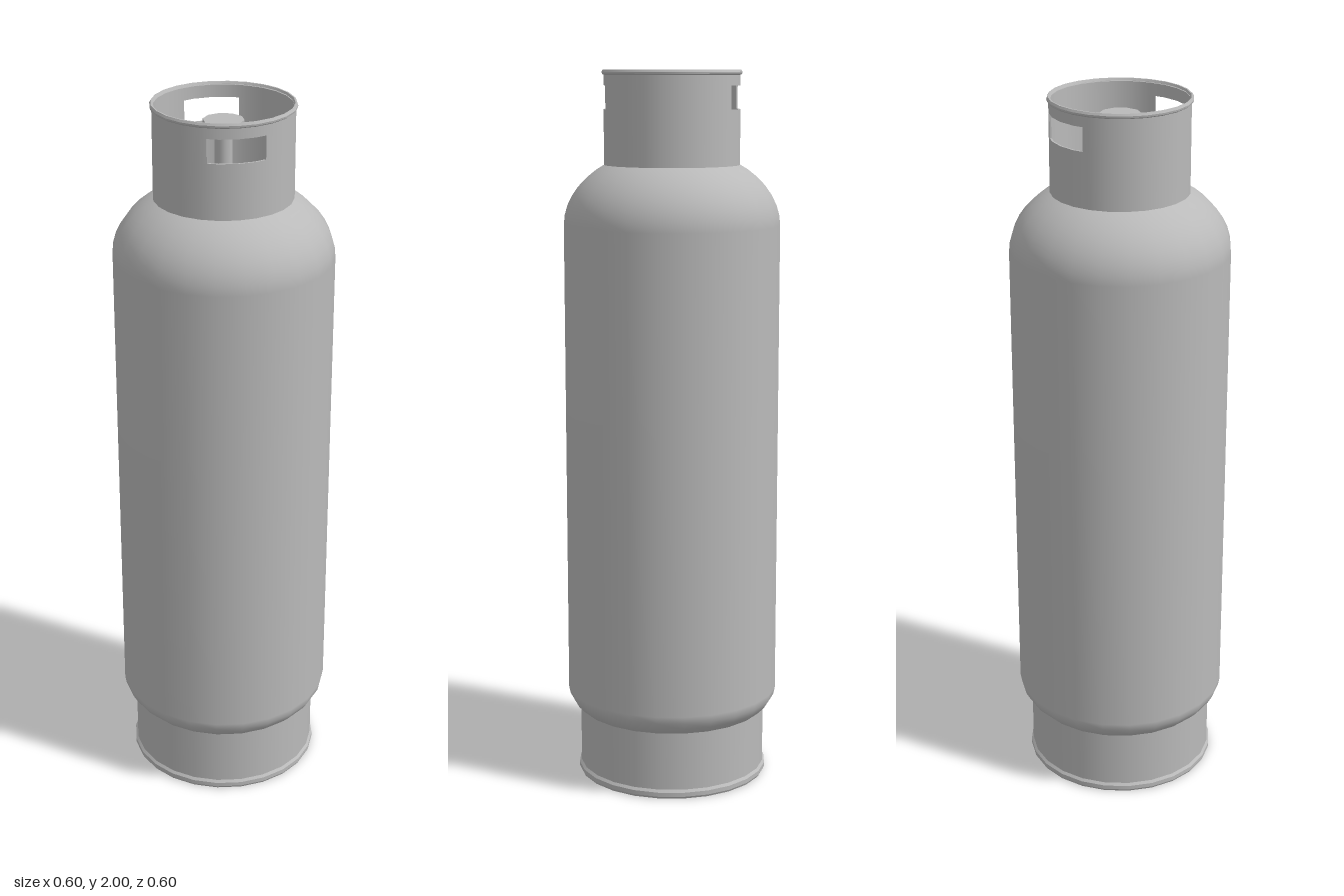
import * as THREE from 'three';
import { mergeGeometries } from 'three/addons/utils/BufferGeometryUtils.js';

const SIDES = 24;
const DEG = Math.PI / 180;

const steel = new THREE.MeshStandardMaterial({ color: 0xbababa, side: THREE.DoubleSide });
steel.name = 'grey steel';

const toVectors = (points) => points.map(([x, y]) => new THREE.Vector2(x, y));

// Revolves each edge of a profile on its own, so corners stay sharp
function sharpLathe(points, sides = SIDES, start = 0, length = Math.PI * 2) {
  const edges = [];
  for (let i = 0; i < points.length - 1; i++) {
    edges.push(new THREE.LatheGeometry(toVectors([points[i], points[i + 1]]), sides, start, length));
  }
  return mergeGeometries(edges);
}

// Closed rectangular wall section between two radii and two heights
const wall = (inner, outer, low, high) =>
  [[inner, low], [outer, low], [outer, high], [inner, high], [inner, low]];

function part(name, geometry) {
  const mesh = new THREE.Mesh(geometry, steel);
  mesh.name = name;
  return mesh;
}

// Quarter ellipse points of a domed end, from the wall to the axis
function dome(radius, y, height, steps) {
  const points = [];
  for (let i = 0; i <= steps; i++) {
    const a = (i / steps) * Math.PI / 2;
    points.push([i === steps ? 0 : radius * Math.cos(a), y + height * Math.sin(a)]);
  }
  return points;
}

function createTank() {
  const profile = [...dome(0.3, 0.25, -0.128, 10).reverse(), ...dome(0.3, 1.58, 0.21, 12)];
  return part('tank', new THREE.LatheGeometry(toVectors(profile), SIDES));
}

function createFootRing() {
  const group = new THREE.Group();
  group.name = 'footRing';
  group.add(part('footWall', sharpLathe(wall(0.258, 0.265, 0.01, 0.2))));
  group.add(part('footRim', sharpLathe(
    [[0.258, 0], [0.268, 0], [0.271, 0.006], [0.271, 0.018], [0.265, 0.025]])));
  return group;
}

function createCollar() {
  const inner = 0.183, outer = 0.188;
  const low = 1.894, high = 1.958;
  const group = new THREE.Group();
  group.name = 'collar';
  group.add(part('collarBase', sharpLathe(wall(inner, outer, 1.72, low))));
  group.add(part('collarBand', sharpLathe(wall(inner, outer, high, 1.992))));
  group.add(part('collarRim', sharpLathe(
    [[outer, 1.986], [0.192, 1.989], [0.193, 1.994], [0.19, 2], [0.186, 2], [inner, 1.994]])));

  // Walls beside the front and back hand openings
  for (const turn of [0, 180]) {
    const sections = [[24, 30, 1], [30, 150, 8], [150, 156, 1]];
    const side = mergeGeometries(sections.map(([from, to, count]) => sharpLathe(
      [[outer, low], [outer, high]], count, (from + turn) * DEG, (to - from) * DEG)));
    const inside = mergeGeometries(sections.map(([from, to, count]) => sharpLathe(
      [[inner, high], [inner, low]], count, (from + turn) * DEG, (to - from) * DEG)));
    group.add(part('collarSide', mergeGeometries([side, inside])));

    // Cut ends of the wall
    for (const angle of [24, 156]) {
      const end = new THREE.PlaneGeometry(outer - inner, high - low);
      end.translate((inner + outer) / 2, (low + high) / 2, 0);
      end.rotateY((angle + turn - 90) * DEG);
      group.add(part('openingEdge', end));
    }
  }
  return group;
}

function createValve() {
  const group = new THREE.Group();
  group.name = 'valve';
  group.add(part('valveBody', sharpLathe([[0.024, 1.77], [0.024, 1.92], [0, 1.92]], 10)));
  group.add(part('valveStem', sharpLathe([[0.01, 1.915], [0.01, 1.945]], 10)));
  group.add(part('handWheel', sharpLathe(
    [[0, 1.941], [0.055, 1.941], [0.055, 1.953], [0, 1.953]], 10)));
  // Point a corner of the wheel to the back
  group.rotation.y = Math.PI;
  return group;
}

export function createModel() {
  const model = new THREE.Group();
  model.name = 'gasCylinder';
  model.add(createTank(), createFootRing(), createCollar(), createValve());
  return model;
}
